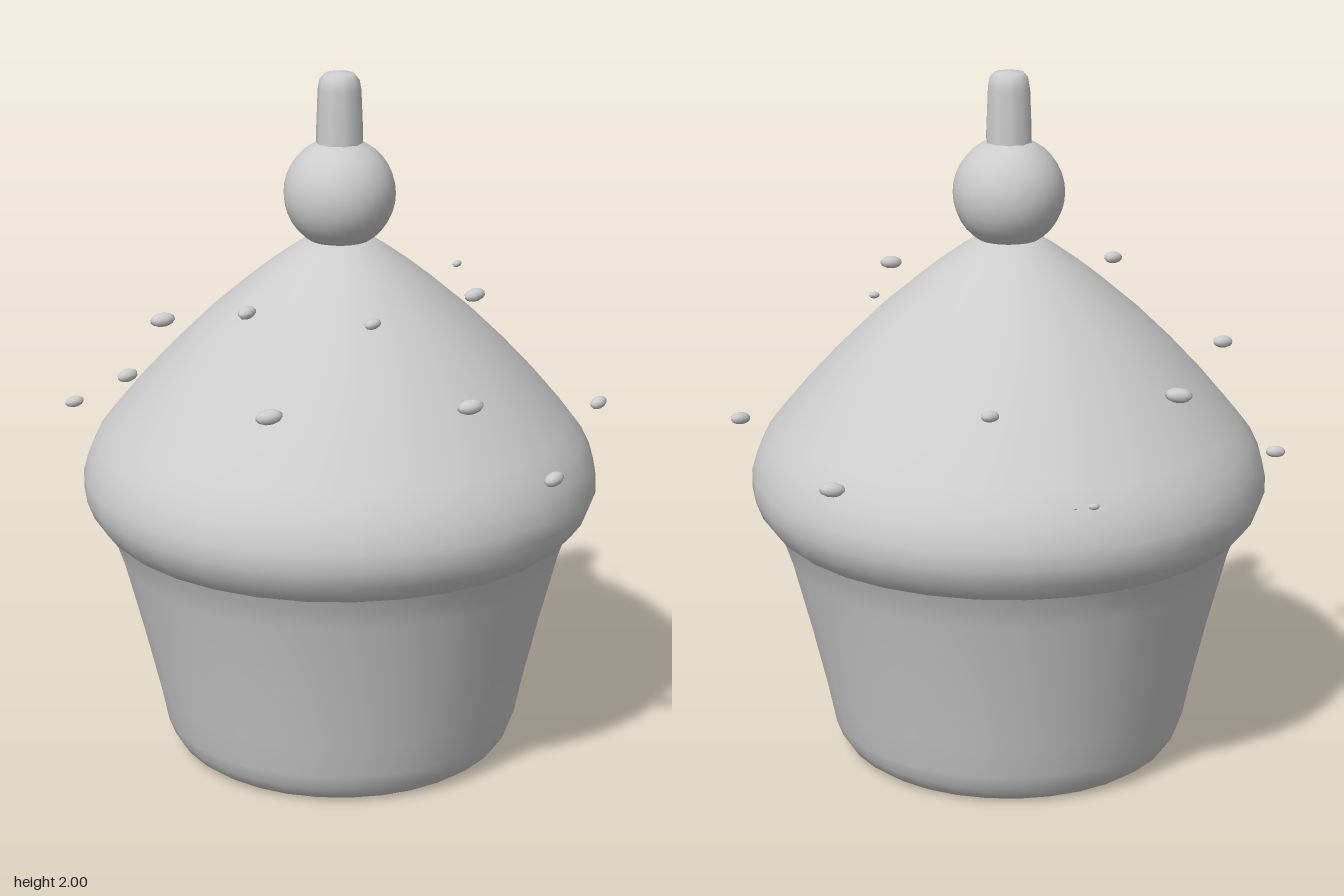
import * as THREE from 'three';

const CX = -0.022, CZ = -0.027; // axis of the cake

export function createModel() {
  const group = new THREE.Group();
  const grey = new THREE.MeshStandardMaterial({ color: 0xcccccc });
  grey.name = 'plain grey';

  const add = (name, geometry, x, y, z) => {
    const mesh = new THREE.Mesh(geometry, grey);
    mesh.name = name;
    mesh.position.set(x, y, z);
    group.add(mesh);
    return mesh;
  };
  const lathe = (points, sides) =>
    new THREE.LatheGeometry(points.map(([r, y]) => new THREE.Vector2(r, y)), sides);

  // Paper cup: flat base, rounded bottom edge, flaring wall
  add('cup', lathe([
    [0, 0.005], [0.43, 0.005], [0.46, 0.008], [0.483, 0.025], [0.503, 0.055], [0.52, 0.1],
    [0.54, 0.2], [0.587, 0.4], [0.638, 0.6], [0.658, 0.66], [0.685, 0.72],
  ], 32), CX, 0, CZ);

  // Icing: bulging rim tapering to a small flat crown
  add('icing', lathe([
    [0.655, 0.68], [0.692, 0.71], [0.722, 0.75], [0.741, 0.8], [0.74, 0.85], [0.726, 0.9],
    [0.702, 0.95], [0.664, 1.0], [0.58, 1.1], [0.487, 1.2], [0.385, 1.3], [0.268, 1.4],
    [0.205, 1.45], [0.135, 1.5], [0.1, 1.522], [0.06, 1.533], [0, 1.535],
  ], 32), CX, 0, CZ);

  // Cherry and its stubby stem
  add('cherry', new THREE.SphereGeometry(0.158, 28, 18), CX, 1.657, CZ);
  add('stem', lathe([
    [0.066, 1.75], [0.066, 1.83], [0.061, 1.95], [0.056, 1.978], [0.042, 1.995], [0, 2],
  ], 10), CX, 0, CZ);

  // Loose sprinkles in three rings: x, y, z, half length, turn about y
  const sprinkles = [
    [-0.43, 1.4, 0, 0.031, 0], [-0.26, 1.39, 0.305, 0.026, -0.2],
    [0.12, 1.4, 0.35, 0.033, -0.3], [0.36, 1.395, 0.09, 0.017, 0],
    [-0.585, 1.19, 0.225, 0.038, -0.6], [-0.165, 1.19, 0.57, 0.037, -0.6],
    [0.39, 1.19, -0.48, 0.028, -0.1], [-0.13, 1.19, -0.64, 0.038, -0.6],
    [-0.58, 1.19, -0.32, 0.032, -0.2], [-0.025, 0.99, 0.75, 0.035, 0],
    [0.59, 0.99, 0.445, 0.032, 0], [0.73, 0.99, -0.235, 0.036, -0.4],
    [-0.425, 0.99, -0.715, 0.029, -0.4], [0.262, 0.99, -0.76, 0.016, -0.2],
    [0.303, 0.985, -0.732, 0.006, 0],
  ];
  const grain = new THREE.SphereGeometry(1, 10, 7);
  for (const [x, y, z, size, turn] of sprinkles) {
    const mesh = add('sprinkle', grain, x, y, z);
    mesh.scale.set(size, size * 0.55, size * 0.6);
    mesh.rotation.set(0, turn, 0.1);
  }
  return group;
}
